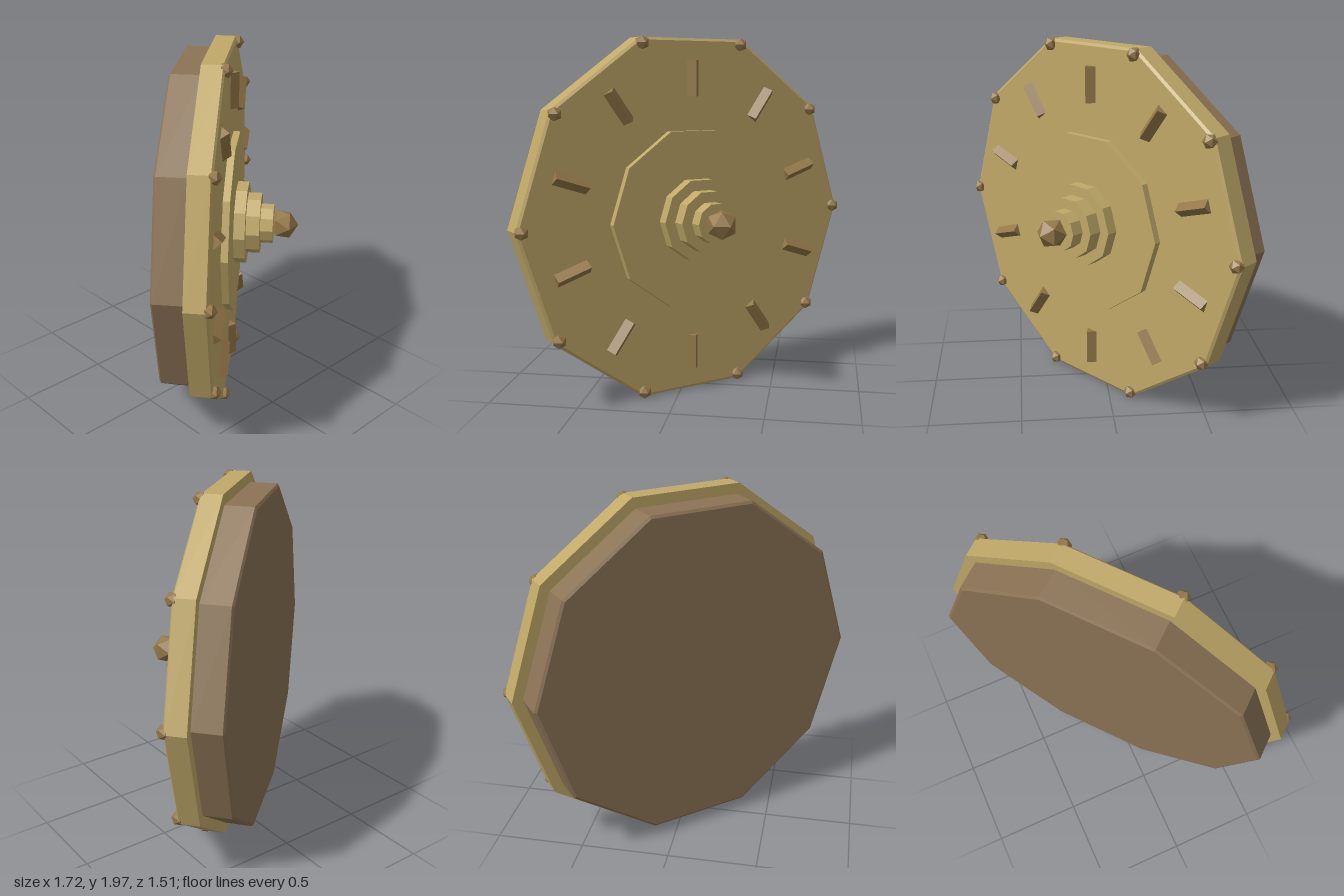
import * as THREE from 'three';

const mat = (color) => new THREE.MeshStandardMaterial({ color, flatShading: true });
const SIDES = 10;

// Ten-sided disc along +z, from a [radius, z] profile, with a corner on the x axis
function disc(name, profile, material) {
  const points = profile.map(([r, z]) => new THREE.Vector2(r, z));
  const geo = new THREE.LatheGeometry(points, SIDES);
  geo.rotateX(Math.PI / 2).rotateZ(Math.PI / 2);
  const mesh = new THREE.Mesh(geo, material);
  mesh.name = name;
  return mesh;
}

// Faceted ball with one corner pointing along +z
function ballGeometry(radius) {
  const geo = new THREE.IcosahedronGeometry(radius, 0);
  return geo.rotateX(Math.atan(2 / (1 + Math.sqrt(5)))).rotateZ(-Math.PI / 2);
}

export function createModel() {
  const model = new THREE.Group();
  const shield = new THREE.Group();
  shield.name = 'shield';
  const gold = mat(0xc0a868);
  const wood = mat(0x8b7355);
  const bronze = mat(0x947748);

  // Wooden backing and metal face plate, both with a narrow chamfer
  shield.add(disc('woodBacking',
    [[0, -0.185], [0.955, -0.185], [0.97, -0.175], [0.97, -0.02], [0, -0.02]], wood));
  shield.add(disc('facePlate',
    [[0, -0.02], [1.031, -0.02], [1.031, 0.09], [1.016, 0.1], [0, 0.1]], gold));

  // Stepped centre boss: [radius, back, front]
  [[0.508, 0.09, 0.138], [0.23, 0.13, 0.2], [0.17, 0.19, 0.275], [0.11, 0.265, 0.345]]
    .forEach(([r, z0, z1], i) => {
      shield.add(disc('bossStep' + (i + 1), [[0, z0], [r, z0], [r, z1], [0, z1]], gold));
    });
  const bossBall = new THREE.Mesh(ballGeometry(0.085), bronze);
  bossBall.name = 'bossBall';
  bossBall.position.z = 0.398;
  shield.add(bossBall);

  // Ridge bar: triangular prism lying along the x axis
  const section = new THREE.Shape();
  section.moveTo(0, -0.043);
  section.lineTo(0.05, 0);
  section.lineTo(0, 0.043);
  section.closePath();
  const ridge = new THREE.ExtrudeGeometry(section, { depth: 0.195, bevelEnabled: false });
  ridge.translate(0, 0, -0.0975).rotateY(-Math.PI / 2);
  const studGeo = ballGeometry(0.04);

  for (let i = 0; i < SIDES; i++) {
    const a = (i / SIDES) * Math.PI * 2;
    // Stud at each corner of the face plate
    const stud = new THREE.Mesh(studGeo, bronze);
    stud.name = 'rimStud';
    stud.position.set(Math.cos(a), Math.sin(a), 0.1);
    shield.add(stud);
    // Radial ridge facing the middle of each side
    const b = a + Math.PI / SIDES;
    const bar = new THREE.Mesh(ridge, bronze);
    bar.name = 'radialRidge';
    bar.position.set(0.766 * Math.cos(b), 0.766 * Math.sin(b), 0.092);
    bar.rotation.z = b;
    shield.add(bar);
  }

  // Stand the shield upright, turned towards the left
  shield.rotation.y = THREE.MathUtils.degToRad(40);
  shield.position.set(-0.005, 1.002, 0.004);
  model.add(shield);
  return model;
}
